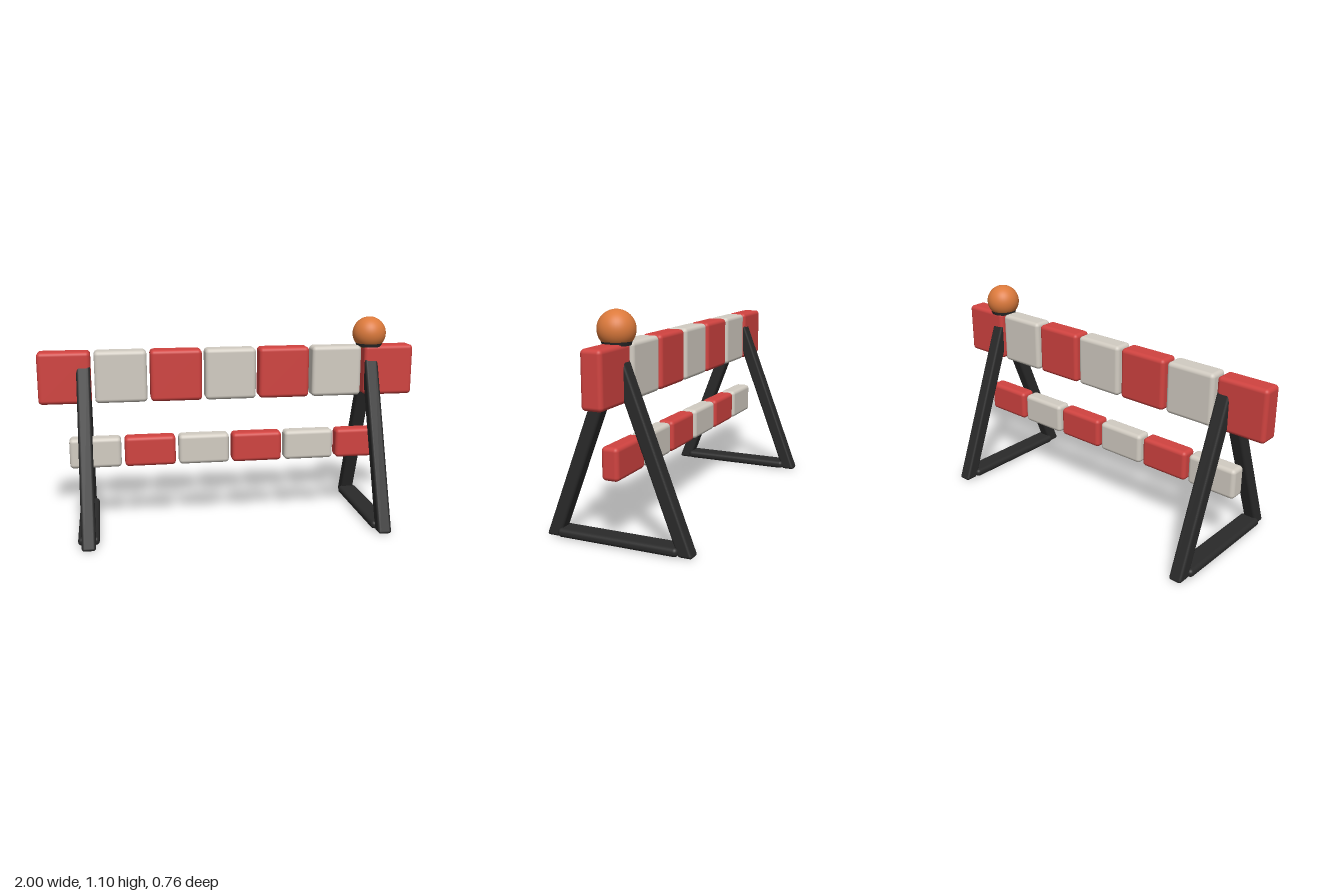
import * as THREE from 'three';
import { RoundedBoxGeometry } from 'three/addons/geometries/RoundedBoxGeometry.js';

const material = (name, color) => {
  const m = new THREE.MeshStandardMaterial({ color });
  m.name = name;
  return m;
};

export function createModel() {
  const red = material('red', 0xd04340);
  const white = material('offWhite', 0xd2ccc2);
  const black = material('black', 0x2a2a2a);
  const orange = material('orange', 0xdc7a3c);
  const model = new THREE.Group();
  model.name = 'barrier';

  const add = (parent, name, geometry, mat, x, y, z) => {
    const mesh = new THREE.Mesh(geometry, mat);
    mesh.name = name;
    mesh.position.set(x, y, z);
    parent.add(mesh);
    return mesh;
  };

  // Rows of alternating rounded blocks
  const pitch = 0.288;
  const addBoard = (name, count, y, height, depth, colours) => {
    const board = new THREE.Group();
    board.name = name;
    const block = new RoundedBoxGeometry(0.27, height, depth, 4, 0.021);
    for (let i = 0; i < count; i++) {
      add(board, 'boardBlock', block, colours[i % 2], (i - (count - 1) / 2) * pitch, y, 0);
    }
    model.add(board);
  };
  addBoard('upperBoard', 7, 0.814, 0.27, 0.107, [red, white]);
  addBoard('lowerBoard', 6, 0.409, 0.16, 0.088, [white, red]);

  // Legs lean inwards but keep flat, level feet
  const legHeight = 0.92, lean = 0.382;
  const legGeometry = (side) => {
    const g = new RoundedBoxGeometry(0.071, legHeight, 0.073, 4, 0.014);
    g.translate(0, legHeight / 2, 0);
    return g.applyMatrix4(new THREE.Matrix4().set(
      1, 0, 0, 0,
      0, 1, 0, 0,
      0, -side * lean, 1, 0,
      0, 0, 0, 1));
  };
  const footBar = new RoundedBoxGeometry(0.108, 0.044, 0.632, 4, 0.02);
  for (const side of [-1, 1]) {
    const stand = new THREE.Group();
    stand.name = side > 0 ? 'leftStand' : 'rightStand';
    stand.position.x = side * 0.767;
    add(stand, 'frontLeg', legGeometry(1), black, 0, 0, 0.348);
    add(stand, 'backLeg', legGeometry(-1), black, 0, 0, -0.348);
    add(stand, 'footBar', footBar, black, 0, 0.025, 0);
    model.add(stand);
  }

  // Warning lamp on the left end
  const lamp = new THREE.Group();
  lamp.name = 'warningLamp';
  lamp.position.x = 0.764;
  add(lamp, 'lampCollar', new THREE.CylinderGeometry(0.072, 0.066, 0.02, 40), black, 0, 0.95, 0);
  add(lamp, 'lampGlobe', new THREE.SphereGeometry(0.089, 40, 28), orange, 0, 1.011, 0);
  model.add(lamp);

  return model;
}
